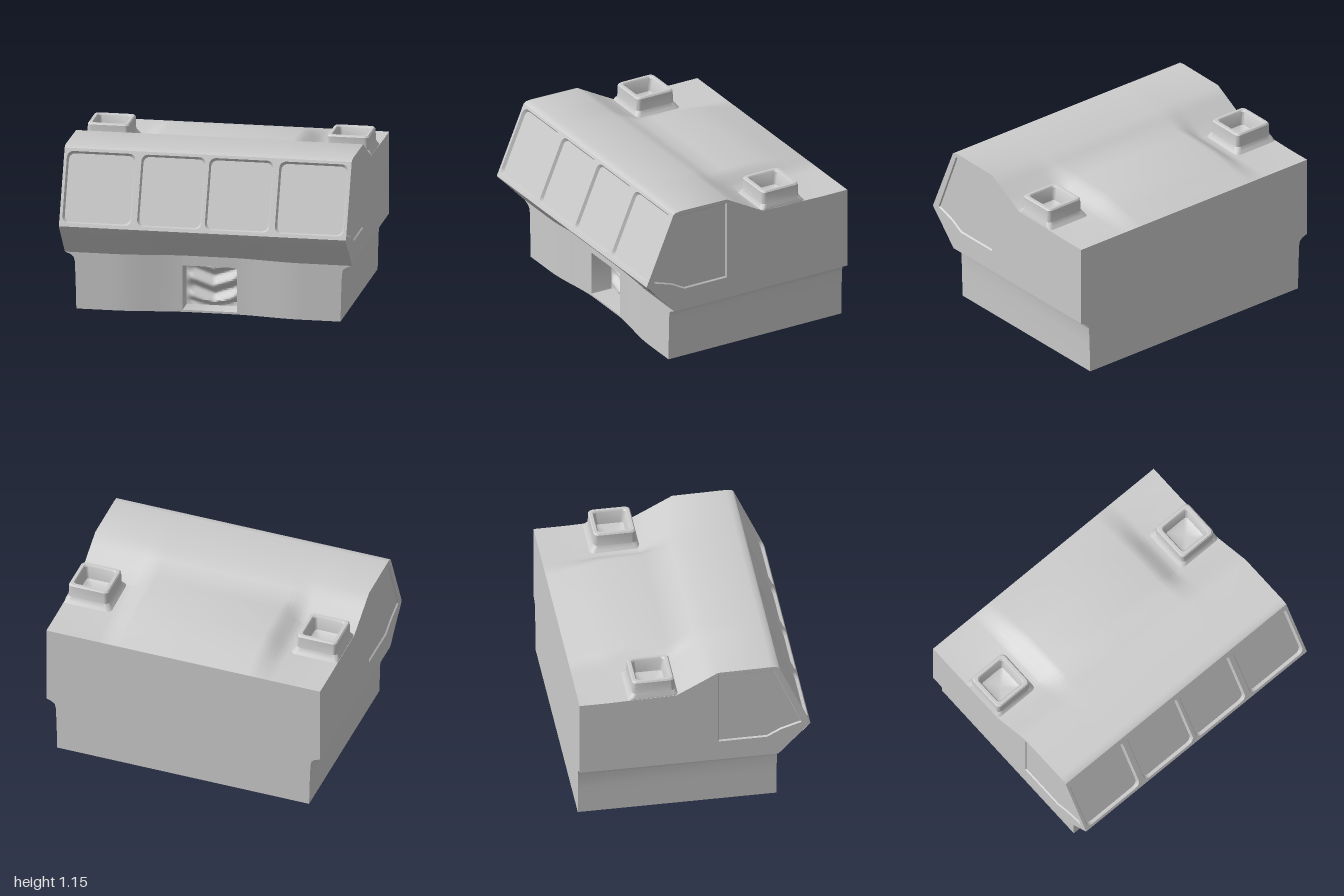
import * as THREE from 'three';
import { toCreasedNormals } from 'three/addons/utils/BufferGeometryUtils.js';

const material = new THREE.MeshStandardMaterial({ color: 0xcccccc, side: THREE.DoubleSide });

function mesh(name, geometry, crease = 0.5) {
  const m = new THREE.Mesh(toCreasedNormals(geometry, crease), material);
  m.name = name;
  return m;
}

// Surface through rows of [x, y, z] points, all rows of equal length
function skin(rows) {
  const n = rows[0].length, index = [];
  for (let i = 0; i < rows.length - 1; i++) {
    for (let j = 0; j < n - 1; j++) {
      const a = i * n + j, b = a + n;
      index.push(a, a + 1, b, b, a + 1, b + 1);
    }
  }
  const g = new THREE.BufferGeometry();
  g.setAttribute('position', new THREE.Float32BufferAttribute(rows.flat(2), 3));
  g.setIndex(index);
  g.computeVertexNormals();
  return g;
}

const span = (a, b, n) => Array.from({ length: n + 1 }, (_, i) => a + (b - a) * i / n);
const smooth = THREE.MathUtils.smoothstep;

// Rounded rectangle as counter-clockwise points
function roundRect(x0, x1, y0, y1, r) {
  const corners = [[x1 - r, y0 + r, -1], [x1 - r, y1 - r, 0], [x0 + r, y1 - r, 1], [x0 + r, y0 + r, 2]];
  return corners.flatMap(([x, y, q]) => span(q, q + 1, 5).map(t =>
    new THREE.Vector2(x + r * Math.cos(t * Math.PI / 2), y + r * Math.sin(t * Math.PI / 2))));
}

// Flat face with sunken panels; each panel is a loop of points
function panelledFace(name, outline, panels, depth, shrink) {
  const group = new THREE.Group();
  group.name = name;
  const face = new THREE.Shape(outline);
  panels.forEach(loop => {
    face.holes.push(new THREE.Path(loop));
    const c = new THREE.Box2().setFromPoints(loop).getCenter(new THREE.Vector2());
    const inner = loop.map(p => p.clone().sub(c).multiplyScalar(shrink).add(c));
    const row = (pts, z) => [...pts, pts[0]].map(p => [p.x, p.y, z]);
    group.add(mesh('panelRim', skin([row(loop, 0), row(inner, -depth)])));
    const pane = mesh('panel', new THREE.ShapeGeometry(new THREE.Shape(inner)));
    pane.position.z = -depth;
    group.add(pane);
  });
  group.add(mesh('panelFrame', new THREE.ShapeGeometry(face)));
  return group;
}

// Roof profile stations: z, height at the sides, height along the raised middle
const ROOF = [
  [0.585, 1.14, 1.14], [0.57, 1.15, 1.15], [0.53, 1.155, 1.155], [0.16, 1.15, 1.15],
  [0.07, 1.1, 1.115], [-0.02, 1.05, 1.08], [-0.13, 0.99, 1.08], [-0.42, 0.985, 1.07],
  [-0.6, 0.98, 1.03], [-0.8, 0.98, 0.98],
];
// Skirt levels: height and half width
const SKIRT = [[0, 0.92], [0.2, 0.925], [0.33, 0.93], [0.365, 0.937], [0.385, 0.96], [0.4, 1]];
const dent = x => 0.05 * (1 - smooth(Math.abs(x), 0.15, 0.65));
const frontZ = x => 0.578 - dent(x);

function createBody() {
  const body = new THREE.Group();
  body.name = 'body';

  // Roof with raised centre section
  const roofX = [-1, ...span(-0.64, -0.46, 6), 0, ...span(0.46, 0.64, 6), 1];
  body.add(mesh('roof', skin(ROOF.map(([z, side, mid]) => roofX.map(x =>
    [x, mid + (side - mid) * smooth(Math.abs(x), 0.46, 0.64), z])))));

  // Overhang below the windows
  const overhang = [[0.4, 0.578, 1], [0.46, 0.632, 0.75], [0.54, 0.707, 0.35], [0.62, 0.785, 0], [0.64, 0.8, 0]];
  body.add(mesh('overhang', skin(overhang.map(([y, z, k]) =>
    span(-1, 1, 32).map(x => [x, y, z - k * dent(x)])))));

  // Sloping window face with four sunken panes
  const height = Math.hypot(0.5, 0.215);
  const panes = [[-0.98, -0.5], [-0.46, -0.012], [0.012, 0.46], [0.5, 0.98]]
    .map(([a, b]) => roundRect(a, b, 0.025, height - 0.02, 0.045));
  const windows = panelledFace('frontWindows', roundRect(-1, 1, 0, height, 0.001), panes, 0.02, 0.95);
  windows.position.set(0, 0.64, 0.8);
  windows.rotation.x = -Math.atan2(0.215, 0.5);
  body.add(windows);

  // Back wall
  const levels = [...SKIRT, [0.98, 1]];
  body.add(mesh('backWall', skin(levels.map(([y, w]) => [[w, y, -0.8], [-w, y, -0.8]]))));
  return body;
}

// One side: upper wall with shallow window panel, skirt and chimney
function createSide() {
  const side = new THREE.Group();
  const toPoints = list => list.map(([z, y]) => new THREE.Vector2(-z, y));
  const outline = toPoints([[0.578, 0.4], [0.8, 0.64], ...ROOF, [-0.8, 0.4]]);
  const panel = toPoints([[0.16, 0.555], [0.5, 0.555], [0.6, 0.61], [0.74, 0.655], [0.55, 1.125], [0.16, 1.125]]);
  const wall = panelledFace('sideWall', outline, [panel], 0.01, 0.97);
  wall.rotation.y = Math.PI / 2;
  wall.position.x = 1;
  side.add(wall);

  side.add(mesh('sideSkirt', skin(SKIRT.map(([y, w]) => [[w, y, 0.578], [w, y, -0.8]])), 0.9));
  side.add(mesh('frontSkirt', skin(SKIRT.map(([y, w]) =>
    span(0.19, w, 16).map(x => [x, y, frontZ(x)]))), 0.9));

  // Hollow square chimney: height, half width, corner radius from base to floor
  const rings = [
    [0.97, 0.19, 0.04], [1.0, 0.165, 0.035], [1.025, 0.148, 0.03], [1.11, 0.145, 0.03], [1.12, 0.137, 0.03],
    [1.12, 0.118, 0.025], [1.11, 0.11, 0.025], [1.02, 0.095, 0.02], [1.005, 0.07, 0.02], [1.0, 0.001, 0.0005],
  ];
  side.add(mesh('chimney', skin(rings.map(([y, h, r]) => {
    const loop = roundRect(-h, h, -h, h, r);
    return [...loop, loop[0]].map(p => [Math.min(0.998, 0.835 + p.x), y, -0.285 - p.y]);
  })), 0.6));
  return side;
}

// Recess in the front skirt, with a chevron-rippled back
function createRecess() {
  const recess = new THREE.Group();
  recess.name = 'frontRecess';
  const w = 0.19, y0 = 0.015, y1 = 0.33, back = 0.37;
  const strip = ys => skin(ys.map(y => span(-w, w, 8).map(x => [x, y, frontZ(x)])));
  recess.add(mesh('recessLintel', strip([y1, 0.365, 0.4])));
  recess.add(mesh('recessSill', strip([0, y0])));

  const loop = [...roundRect(-w, w, y0, y1, 0.004)];
  loop.push(loop[0]);
  recess.add(mesh('recessWalls', skin([
    loop.map(p => [p.x, p.y, back]), loop.map(p => [p.x, p.y, frontZ(p.x)]),
  ])));

  const ripple = (x, y) => {
    const fade = smooth(w - Math.abs(x), 0, 0.05) * smooth(Math.min(y - y0, y1 - y), 0, 0.04);
    return back + 0.025 * fade * Math.sin((y - 0.35 * Math.abs(x)) * 50);
  };
  recess.add(mesh('recessBack', skin(span(y0, y1, 24).map(y =>
    span(-w, w, 24).map(x => [x, y, ripple(x, y)]))), 0.8));
  return recess;
}

export function createModel() {
  const model = new THREE.Group();
  model.name = 'cabShell';
  const left = createSide(), right = createSide();
  left.name = 'leftSide';
  right.name = 'rightSide';
  right.scale.x = -1;
  model.add(createBody(), left, right, createRecess());
  return model;
}
